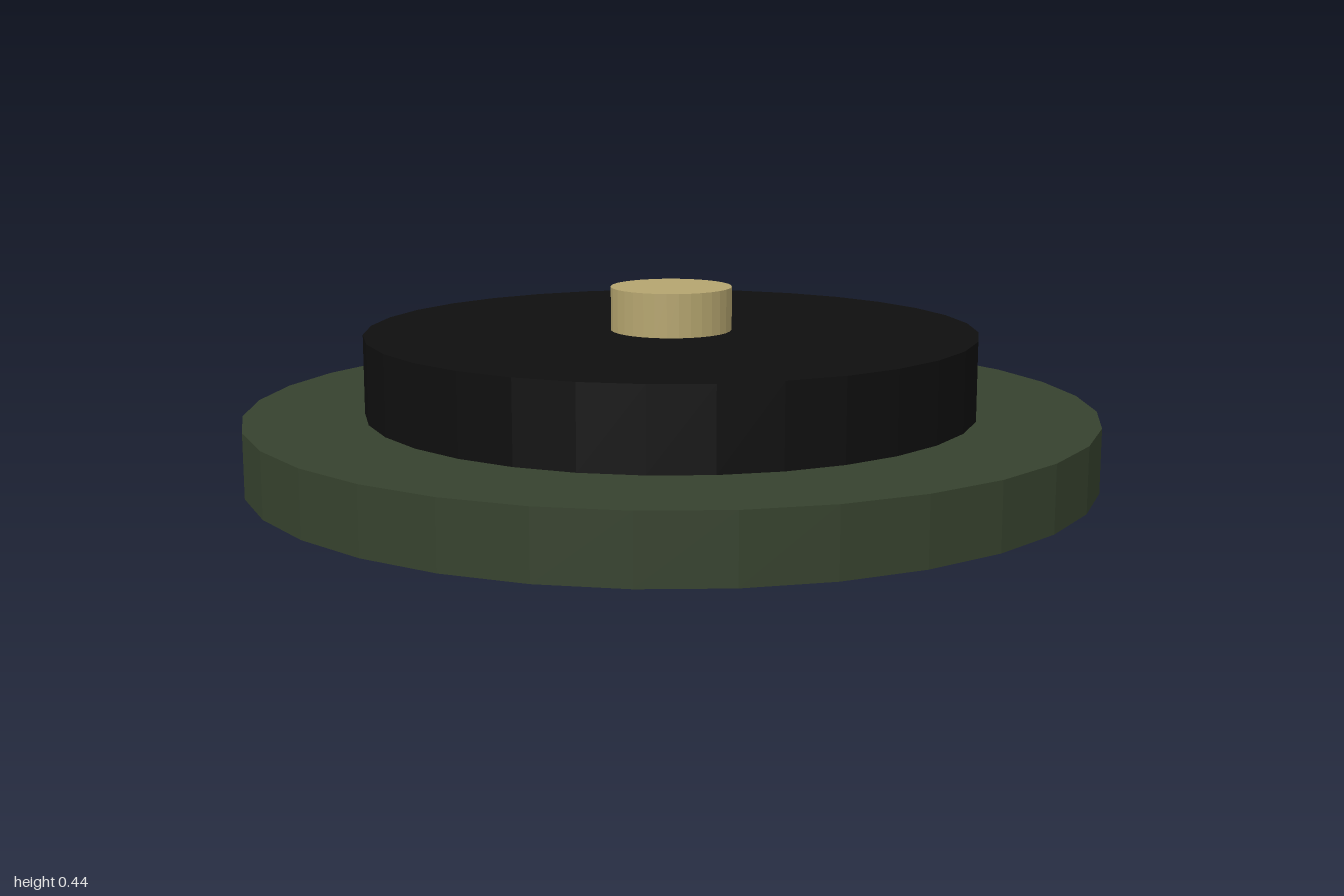
import * as THREE from 'three';

const SIDES = 32;

// Upright disc standing on height y
function disc(name, radius, y, height, color) {
  const mesh = new THREE.Mesh(
    new THREE.CylinderGeometry(radius, radius, height, SIDES),
    new THREE.MeshStandardMaterial({ color, flatShading: true })
  );
  mesh.name = name;
  mesh.position.y = y + height / 2;
  return mesh;
}

export function createModel() {
  const group = new THREE.Group();
  group.name = 'steppedDisc';

  group.add(
    disc('basePlate', 1, 0, 0.15, 0x36422e), // wide green base
    disc('pressurePlate', 0.72, 0.15, 0.185, 0x0f0f0f), // raised black plate
    disc('centreKnob', 0.143, 0.335, 0.102, 0xb5a56f) // small tan knob
  );
  return group;
}
